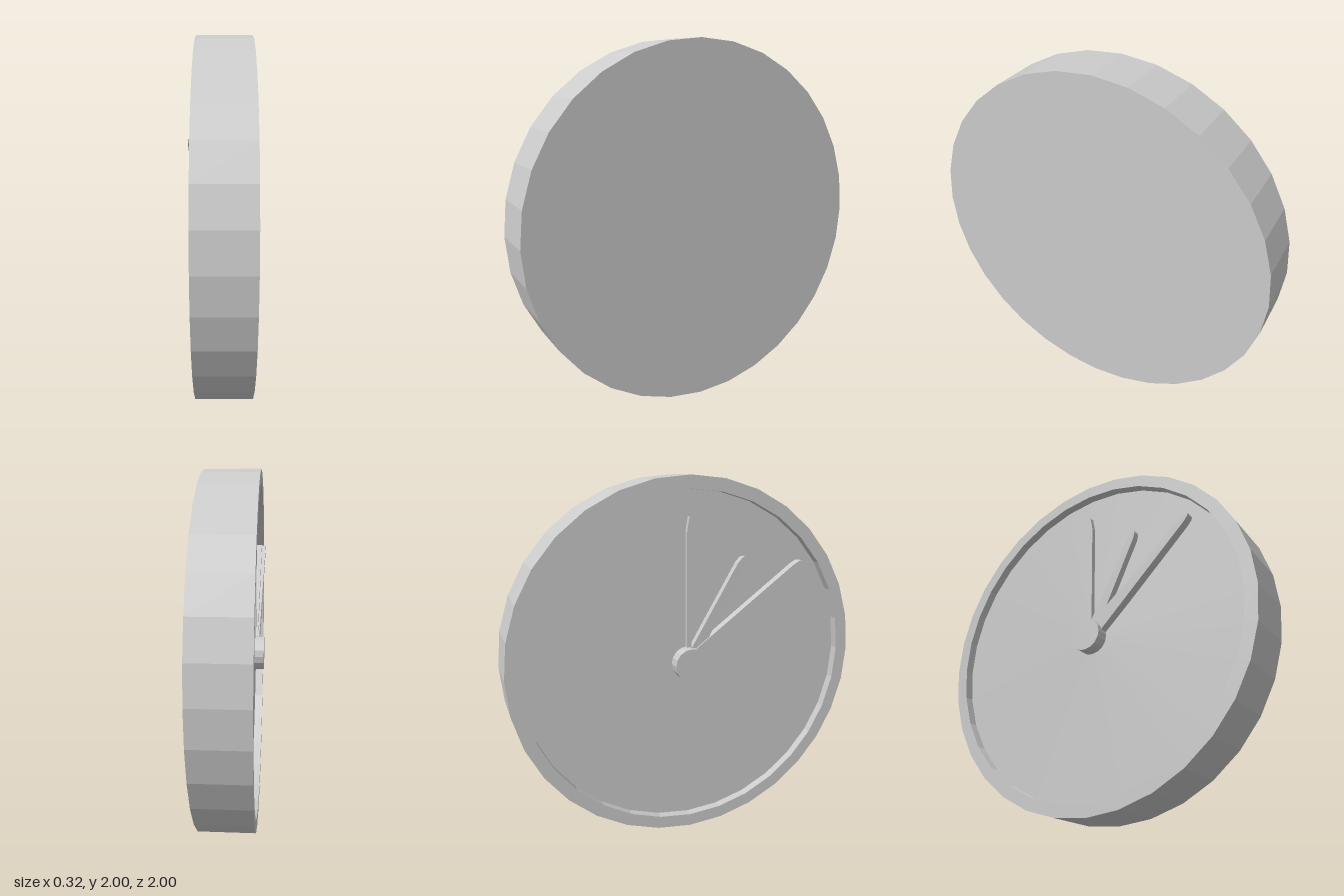
import * as THREE from 'three';

const material = new THREE.MeshStandardMaterial({ color: 0xcccccc, flatShading: true });

function addMesh(parent, geometry, name) {
  const mesh = new THREE.Mesh(geometry, material);
  mesh.name = name;
  parent.add(mesh);
  return mesh;
}

// Tapered hand with a rounded or pointed tip, lying along +y, pivoting at its base
function makeHand({ length, base, tip, depth, pointed }) {
  const shape = new THREE.Shape();
  shape.moveTo(-base, 0);
  shape.lineTo(base, 0);
  if (pointed) {
    shape.lineTo(tip, length - 0.08);
    shape.lineTo(0, length);
    shape.lineTo(-tip, length - 0.08);
  } else {
    shape.lineTo(tip, length - 0.05);
    shape.lineTo(tip * 0.6, length - 0.012);
    shape.lineTo(0, length);
    shape.lineTo(-tip * 0.6, length - 0.012);
    shape.lineTo(-tip, length - 0.05);
  }
  shape.closePath();
  return new THREE.ExtrudeGeometry(shape, { depth, bevelEnabled: false });
}

export function createModel() {
  const model = new THREE.Group();
  model.name = 'wallClock';

  // Clock is built facing +z, then turned so its dial faces -x
  const clock = new THREE.Group();
  clock.name = 'clock';
  clock.position.y = 1;
  clock.rotation.y = -Math.PI / 2;
  model.add(clock);

  // Case: solid back, rim and recessed dial in one profile
  const profile = [[0, -0.16], [1, -0.16], [1, 0.14], [0.93, 0.14], [0.93, 0.09], [0, 0.09]]
    .map(([r, h]) => new THREE.Vector2(r, h));
  addMesh(clock, new THREE.LatheGeometry(profile, 32).rotateX(Math.PI / 2), 'caseAndDial');

  // Centre hub
  const hub = addMesh(clock, new THREE.CylinderGeometry(0.093, 0.093, 0.075, 16).rotateX(Math.PI / 2), 'hub');
  hub.position.set(0, -0.01, 0.1265);

  // Hands: angle is clockwise from the top, tilt lifts the tip off the dial
  const hands = [
    { name: 'secondHand', angle: 0, tilt: 0, z: 0.09, length: 0.8, base: 0.012, tip: 0.014, depth: 0.028, pointed: true },
    { name: 'hourHand', angle: 0.5, tilt: 0.02, z: 0.085, length: 0.66, base: 0.035, tip: 0.02, depth: 0.04 },
    { name: 'minuteHand', angle: 0.885, tilt: 0.026, z: 0.083, length: 0.86, base: 0.045, tip: 0.018, depth: 0.05 },
  ];
  for (const h of hands) {
    const hand = addMesh(clock, makeHand(h), h.name);
    hand.position.set(0, -0.01, h.z);
    hand.rotation.set(h.tilt, 0, -h.angle, 'ZYX');
  }
  return model;
}
